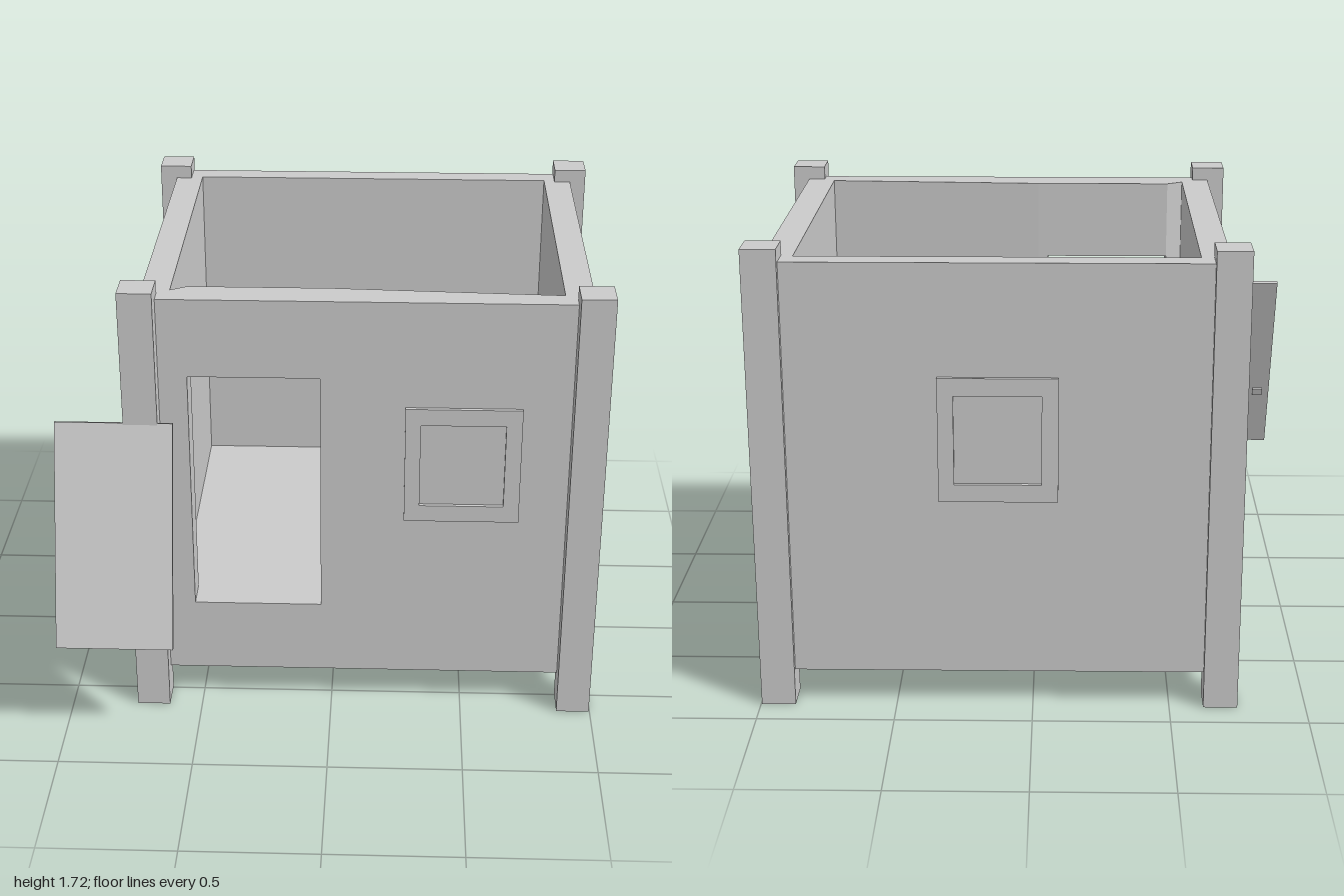
import * as THREE from 'three';

export function createModel() {
  const group = new THREE.Group();
  const mat = new THREE.MeshStandardMaterial({ color: 0xcccccc, flatShading: true });

  const add = (name, geometry) => {
    const mesh = new THREE.Mesh(geometry, mat);
    mesh.name = name;
    group.add(mesh);
    return mesh;
  };

  // Box given by its limits on each axis
  const box = (name, [x0, x1], [y0, y1], [z0, z1]) => {
    const mesh = add(name, new THREE.BoxGeometry(x1 - x0, y1 - y0, z1 - z0));
    mesh.position.set((x0 + x1) / 2, (y0 + y1) / 2, (z0 + z1) / 2);
    return mesh;
  };

  // Corner posts
  for (const x of [-0.75, 0.872])
    for (const z of [-0.885, 0.487])
      box('cornerPost', [x, x + 0.125], [0, 1.72], [z, z + 0.125]);

  // Walls: one plan outline running from jamb to jamb around the room
  const plan = [
    [-0.52, 0.54], [-0.685, 0.54], [-0.685, -0.86], [0.935, -0.86], [0.935, 0.54], [-0.04, 0.54],
    [-0.04, 0.415], [0, 0.415], [0.83, 0.455], [0.83, -0.775], [-0.58, -0.775], [-0.58, 0.45], [-0.52, 0.415],
  ];
  const outline = new THREE.Shape(plan.map(([x, z]) => new THREE.Vector2(x, -z)));
  const walls = add('walls', new THREE.ExtrudeGeometry(outline, { depth: 1.54, bevelEnabled: false }).rotateX(-Math.PI / 2));
  walls.position.y = 0.13;

  // Wall above and below the doorway
  box('doorLintel', [-0.52, -0.04], [1.37, 1.67], [0.415, 0.54]);
  box('doorSill', [-0.52, -0.04], [0.13, 0.42], [0.415, 0.54]);

  // Raised floor
  box('floor', [-0.58, 0.83], [0.37, 0.42], [-0.775, 0.45]);

  // Window frames, shallow trim on three walls
  const rect = (Type, x0, x1, y0, y1) => new Type([[x0, y0], [x1, y0], [x1, y1], [x0, y1]].map((p) => new THREE.Vector2(...p)));
  const windowFrame = (name, x, z, turn) => {
    const shape = rect(THREE.Shape, -0.2125, 0.2125, 0.8, 1.26);
    shape.holes.push(rect(THREE.Path, -0.156, 0.154, 0.865, 1.195));
    const mesh = add(name, new THREE.ExtrudeGeometry(shape, { depth: 0.015, bevelEnabled: false }));
    mesh.position.set(x, 0, z);
    mesh.rotation.y = turn;
  };
  windowFrame('frontWindowFrame', 0.482, 0.54, 0);
  windowFrame('leftWindowFrame', 0.935, -0.168, Math.PI / 2);
  windowFrame('backWindowFrame', 0.122, -0.86, Math.PI);

  // Loose door leaning on the front post, with a small handle plate behind it
  const lean = -0.327;
  const door = box('door', [-1, -0.57], [0.396, 1.234], [0.725, 0.745]);
  door.rotation.x = lean;
  const handle = box('doorHandle', [-0.967, -0.925], [0.667, 0.702], [0.729, 0.737]);
  handle.rotation.x = lean;

  return group;
}
